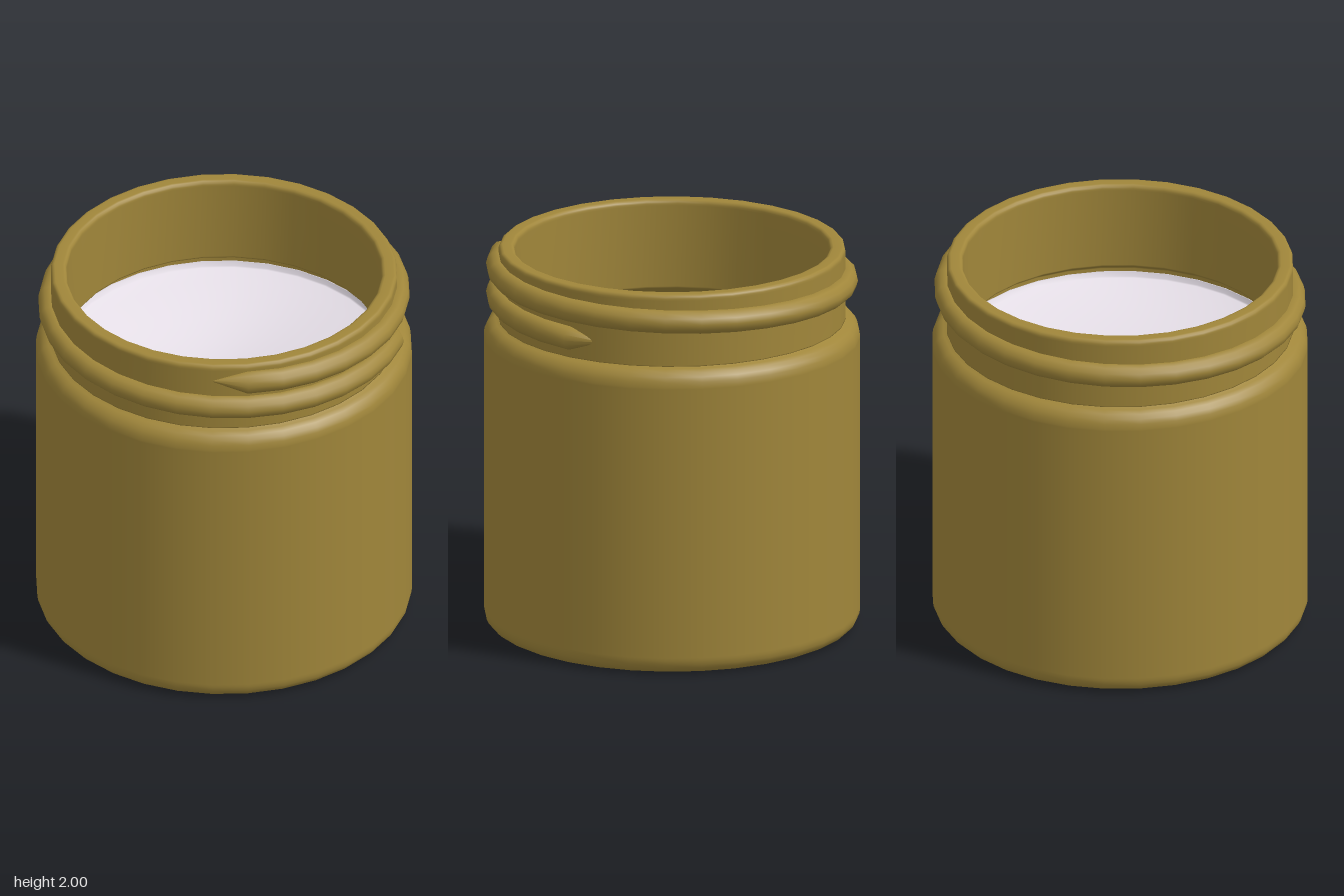
import * as THREE from 'three';
import { mergeVertices } from 'three/addons/utils/BufferGeometryUtils.js';

const SIDES = 32;

const lathe = (points) =>
  new THREE.LatheGeometry(points.map(([r, y]) => new THREE.Vector2(r, y)), SIDES);

// Quarter-round corner points between two angles (degrees)
function corner(cx, cy, radius, from, to, steps = 5) {
  return Array.from({ length: steps + 1 }, (_, i) => {
    const a = THREE.MathUtils.degToRad(from + ((to - from) * i) / steps);
    return [cx + radius * Math.cos(a), cy + radius * Math.sin(a)];
  });
}

// Helical bead that starts at the front, winds down 1.25 turns and tapers into the neck
function threadGeometry() {
  const steps = SIDES * 1.25, ring = 12, pos = [], index = [];
  for (let i = 0; i <= steps; i++) {
    const a = (i / SIDES) * Math.PI * 2;
    const size = i === 0 || i === steps ? 0.004 : 0.061;
    const centre = i === 0 ? 0.883 : i === steps ? 0.86 : 0.888;
    const y = 1.908 - (0.15 * i) / SIDES;
    for (let j = 0; j < ring; j++) {
      const t = (j / ring) * Math.PI * 2;
      const r = centre + size * Math.cos(t);
      pos.push(r * Math.sin(a), y + size * Math.sin(t), r * Math.cos(a));
    }
  }
  for (let i = 0; i < steps; i++) {
    for (let j = 0; j < ring; j++) {
      const k = (j + 1) % ring;
      const a = i * ring + j, b = i * ring + k, c = a + ring, d = b + ring;
      index.push(a, c, b, b, c, d);
    }
  }
  const geo = new THREE.BufferGeometry();
  geo.setAttribute('position', new THREE.Float32BufferAttribute(pos, 3));
  geo.setIndex(index);
  geo.computeVertexNormals();
  return geo;
}

// Filling with a thin raised edge and a shallow, gently uneven hollow
function fillingGeometry() {
  const points = [[0, 0.09], [0.86, 0.09], [0.87, 0.1], [0.87, 1.465], [0.868, 1.47], [0.864, 1.468], [0.858, 1.445]];
  for (let i = 0; i <= 10; i++) {
    const t = 1 - i / 10;
    points.push([0.85 * t, 1.32 + 0.12 * t * t]);
  }
  let geo = lathe(points);
  geo.deleteAttribute('uv');
  geo.deleteAttribute('normal');
  geo = mergeVertices(geo, 1e-4);
  const p = geo.attributes.position;
  for (let i = 0; i < p.count; i++) {
    const x = p.getX(i), y = p.getY(i), z = p.getZ(i);
    const inner = 1 - Math.hypot(x, z) / 0.85;
    if (y > 1.3 && inner > 0.01) {
      p.setY(i, y + 0.03 * inner * Math.sin(3 * x + 4 * z));
    }
  }
  geo.computeVertexNormals();
  return geo;
}

export function createModel() {
  const amber = new THREE.MeshStandardMaterial({ color: 0xa0863a });
  amber.name = 'amber brown';
  const cream = new THREE.MeshStandardMaterial({ color: 0xe9e2eb });
  cream.name = 'pale cream';

  const jar = new THREE.Group();
  jar.name = 'jar';
  const add = (name, geo, mat) => {
    const mesh = new THREE.Mesh(geo, mat);
    mesh.name = name;
    jar.add(mesh);
    return mesh;
  };

  // Outer wall, neck, rim and hollow inside in one profile
  add('jarBody', lathe([
    [0, 0], [0.87, 0],
    ...corner(0.885, 0.075, 0.075, -90, 0),
    [0.96, 0.09], [0.96, 1.52],
    ...corner(0.87, 1.53, 0.09, 0, 85),
    [0.887, 1.621], [0.885, 1.625], [0.885, 1.97],
    ...corner(0.865, 1.98, 0.02, 0, 90, 3),
    ...corner(0.825, 1.98, 0.02, 90, 180, 3),
    [0.805, 1.97], [0.805, 1.54], [0.81, 1.53],
    [0.875, 1.49], [0.88, 1.48],
    [0.88, 0.12], [0.85, 0.08], [0, 0.08],
  ]), amber);

  add('screwThread', threadGeometry(), amber);
  add('filling', fillingGeometry(), cream);

  // Tiny nub in the middle of the filling, in two beads
  [[-0.002, 0.018], [0.024, 0.014]].forEach(([x, r]) => {
    const bead = add('centreNub', new THREE.SphereGeometry(r, 10, 8), amber);
    bead.position.set(x, 1.328, 0);
  });

  return jar;
}
